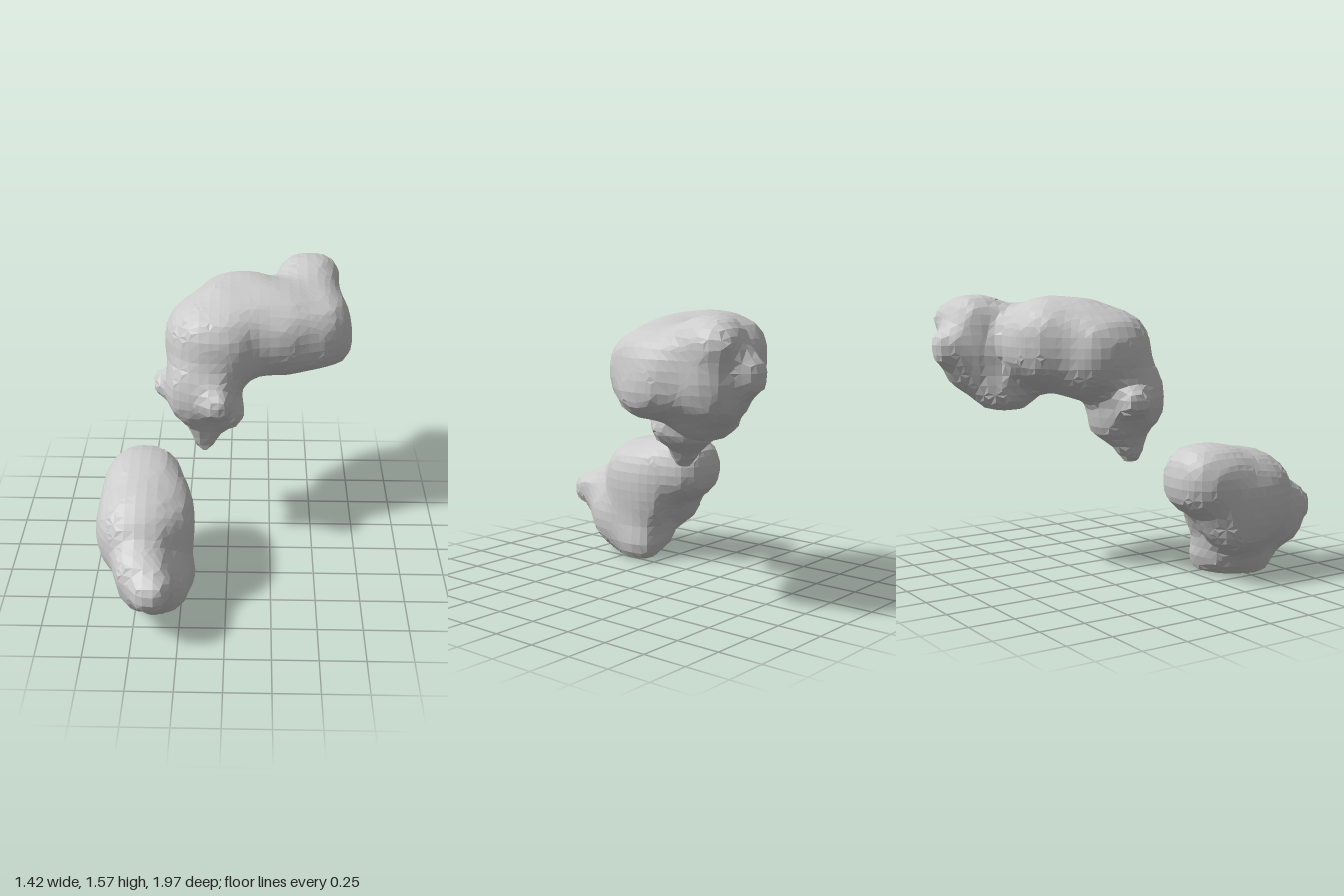
import * as THREE from 'three';

// Each lobe: centre x, y, z, then radii x, y, z
const UPPER = [
  [-0.06, 1.25, -0.25, 0.26, 0.26, 0.28],  // elbow
  [-0.18, 1.26, -0.26, 0.17, 0.19, 0.23],  // elbow corner
  [0.06, 1.31, -0.41, 0.27, 0.25, 0.3],    // middle
  [0.24, 1.28, -0.36, 0.25, 0.25, 0.29],   // bridge
  [0.42, 1.27, -0.43, 0.27, 0.24, 0.31],   // outer shoulder
  [0.45, 1.35, -0.72, 0.19, 0.22, 0.19],   // rear lobe
  [0.56, 1.44, -0.83, 0.07, 0.07, 0.08],   // rear upper corner
  [0.43, 1.19, -0.72, 0.18, 0.17, 0.18],   // rear lobe, lower
  [0.41, 1.28, -0.91, 0.09, 0.1, 0.09],    // rear point
  [0.59, 1.16, -0.44, 0.11, 0.11, 0.14],   // outer lower edge
  [-0.15, 1.02, -0.09, 0.2, 0.2, 0.17],    // hanging end
  [-0.1, 0.9, -0.14, 0.16, 0.14, 0.16],    // hanging end, lower
  [0.03, 0.88, -0.07, 0.06, 0.07, 0.08],   // hanging end, inner bump
  [-0.13, 0.74, -0.08, 0.07, 0.11, 0.08],  // lower tip
  [-0.36, 1.0, -0.2, 0.08, 0.07, 0.08],    // side bump
  [-0.06, 1.0, 0.08, 0.07, 0.08, 0.08],    // front bump
  [0.35, 1.04, -0.6, 0.17, 0.12, 0.17],    // underside bump
];
const LOWER = [
  [-0.46, 0.57, 0.2, 0.22, 0.2, 0.22],     // top
  [-0.45, 0.49, 0.42, 0.24, 0.24, 0.26],   // body
  [-0.53, 0.39, 0.4, 0.17, 0.23, 0.25],    // body, right side
  [-0.29, 0.42, 0.41, 0.11, 0.24, 0.22],   // body, left side
  [-0.47, 0.47, 0.56, 0.17, 0.17, 0.17],   // body, front
  [-0.38, 0.18, 0.46, 0.18, 0.18, 0.2],    // foot
  [-0.27, 0.09, 0.38, 0.09, 0.1, 0.13],    // foot edge
  [-0.33, 0.21, 0.61, 0.13, 0.17, 0.16],   // foot, front
  [-0.4, 0.07, 0.55, 0.1, 0.08, 0.12],     // sole
  [-0.42, 0.31, 0.7, 0.16, 0.18, 0.18],    // snout
  [-0.45, 0.41, 0.74, 0.12, 0.1, 0.14],    // snout, upper
  [-0.38, 0.35, 0.89, 0.1, 0.1, 0.1],      // snout end
];

// Smoothly blended distance to a set of rounded lobes, negative inside
function distance(lobes, x, y, z) {
  const k = 0.08, p = 2.4;
  let d = 10;
  for (const [cx, cy, cz, rx, ry, rz] of lobes) {
    const px = Math.abs(x - cx) / rx, py = Math.abs(y - cy) / ry, pz = Math.abs(z - cz) / rz;
    const k0 = Math.max((px ** p + py ** p + pz ** p) ** (1 / p), 0.05);
    const slope = Math.hypot(px ** (p - 1) / rx, py ** (p - 1) / ry, pz ** (p - 1) / rz) / k0 ** (p - 1);
    const e = (k0 - 1) / Math.max(slope, 1);
    const h = Math.max(k - Math.abs(d - e), 0) / k;
    d = Math.min(d, e) - h * h * k / 4;
  }
  // shallow surface unevenness
  return d + 0.006 * Math.sin(17 * x + 3) * Math.sin(15 * y + 1) * Math.sin(16 * z);
}

// Coarse faceted skin over the blended lobes, one vertex per crossed grid cell
function skin(lobes, cell = 0.055) {
  const lo = [0, 1, 2].map(a => Math.min(...lobes.map(l => l[a] - l[a + 3])) - 2.4 * cell);
  const hi = [0, 1, 2].map(a => Math.max(...lobes.map(l => l[a] + l[a + 3])) + 2.4 * cell);
  const n = lo.map((v, a) => Math.ceil((hi[a] - v) / cell) + 1);
  const step = [1, n[0], n[0] * n[1]];
  const at = (i, j, k) => i + j * step[1] + k * step[2];
  const field = new Float32Array(n[0] * n[1] * n[2]);
  const vertexOf = new Int32Array(field.length).fill(-1);
  const positions = [], index = [];
  const each = (margin, visit) => {
    for (let k = margin; k < n[2] - 1; k++)
      for (let j = margin; j < n[1] - 1; j++)
        for (let i = margin; i < n[0] - 1; i++) visit(i, j, k);
  };
  for (let k = 0; k < n[2]; k++)
    for (let j = 0; j < n[1]; j++)
      for (let i = 0; i < n[0]; i++)
        field[at(i, j, k)] = distance(lobes, lo[0] + i * cell, lo[1] + j * cell, lo[2] + k * cell);

  // vertices: mean of the edge crossings in each cell
  each(0, (i, j, k) => {
    const sum = [0, 0, 0];
    let count = 0;
    for (let c = 0; c < 8; c++) {
      const p = [c & 1, (c >> 1) & 1, c >> 2];
      for (let a = 0; a < 3; a++) {
        if (p[a]) continue;
        const s = at(i + p[0], j + p[1], k + p[2]);
        const f = field[s], g = field[s + step[a]];
        if ((f < 0) === (g < 0)) continue;
        for (let b = 0; b < 3; b++) sum[b] += p[b] + (b === a ? f / (f - g) : 0);
        count++;
      }
    }
    if (!count) return;
    vertexOf[at(i, j, k)] = positions.length / 3;
    const [x, y, z] = [i, j, k].map((v, a) => lo[a] + (v + sum[a] / count) * cell);
    positions.push(x, Math.max(y, 0), z);
  });

  // one quad around every crossed grid edge
  each(1, (i, j, k) => {
    const s = at(i, j, k);
    for (let a = 0; a < 3; a++) {
      const inside = field[s] < 0;
      if (inside === field[s + step[a]] < 0) continue;
      const u = step[(a + 1) % 3], v = step[(a + 2) % 3];
      const q = [s, s - u, s - u - v, s - v].map(c => vertexOf[c]);
      if (!inside) q.reverse();
      index.push(q[0], q[1], q[2], q[0], q[2], q[3]);
    }
  });

  const geometry = new THREE.BufferGeometry();
  geometry.setAttribute('position', new THREE.Float32BufferAttribute(positions, 3));
  geometry.setIndex(index);
  geometry.computeVertexNormals();
  return geometry;
}

export function createModel() {
  const group = new THREE.Group();
  const material = new THREE.MeshStandardMaterial({ color: 0xcccccc, flatShading: true });
  for (const [name, lobes] of [['upperBentLump', UPPER], ['lowerLump', LOWER]]) {
    const mesh = new THREE.Mesh(skin(lobes), material);
    mesh.name = name;
    group.add(mesh);
  }
  return group;
}
